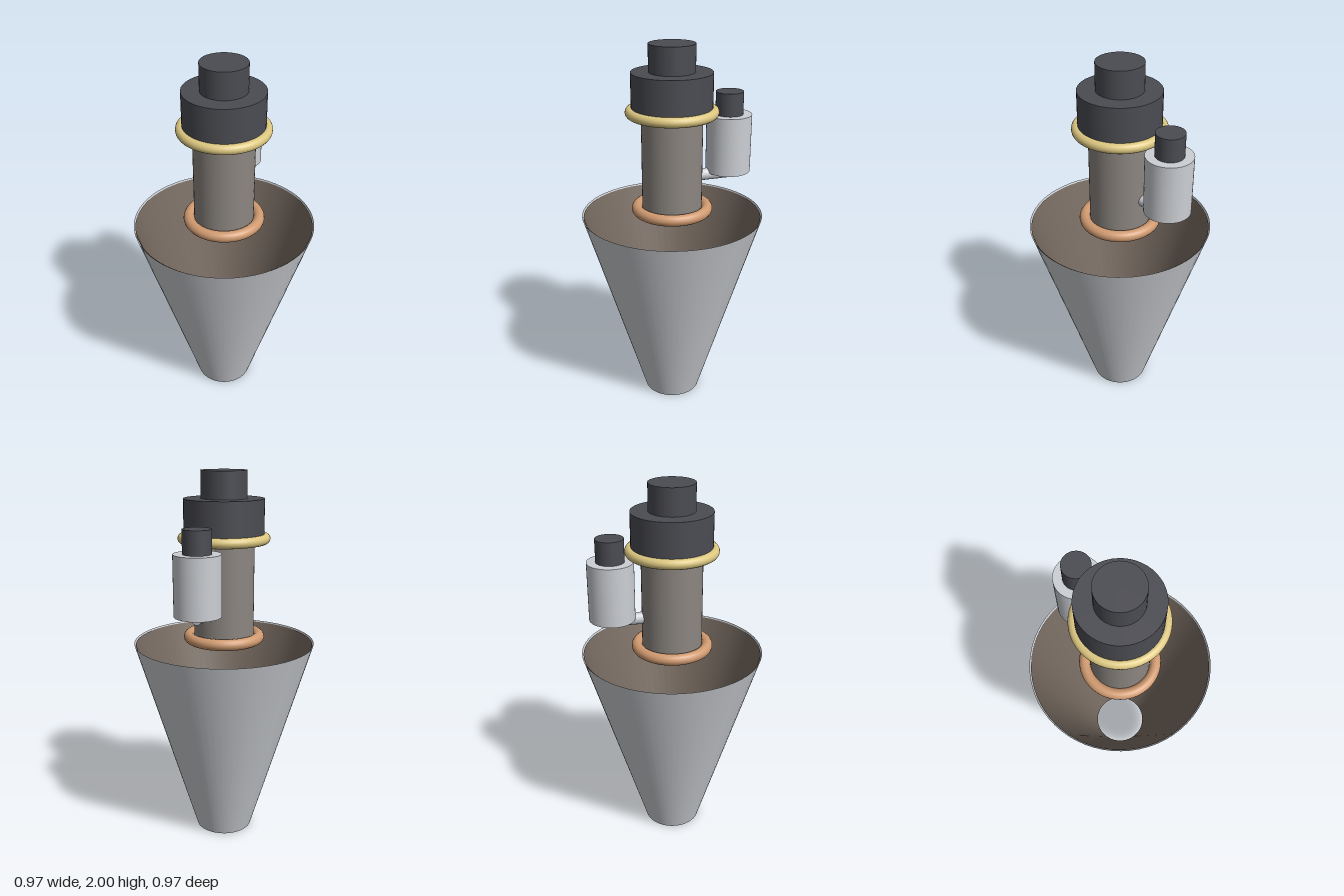
import * as THREE from 'three';

const material = (color, side = THREE.FrontSide) =>
  new THREE.MeshStandardMaterial({ color, side });

export function createModel() {
  const model = new THREE.Group();
  model.name = 'rocketEngine';

  const steel = material(0xcccfd4);
  const column = material(0x8c8681);
  const dark = material(0x4b4c52);

  const add = (name, geometry, mat, x, y, z) => {
    const mesh = new THREE.Mesh(geometry, mat);
    mesh.name = name;
    mesh.position.set(x, y, z);
    model.add(mesh);
    return mesh;
  };

  // Upright cylinder between two heights
  const post = (name, radius, y0, y1, mat, z = 0) =>
    add(name, new THREE.CylinderGeometry(radius, radius, y1 - y0, 48), mat, 0, (y0 + y1) / 2, z);

  // Horizontal ring around the main axis
  const ring = (name, radius, tube, y, color) => {
    const geometry = new THREE.TorusGeometry(radius, tube, 16, 64).rotateX(Math.PI / 2);
    return add(name, geometry, material(color), 0, y, 0);
  };

  // Open cone: pale outer shell and a brown liner just inside it
  add('outerCone', new THREE.CylinderGeometry(0.485, 0.155, 1.1, 64, 1, true),
    material(0xcccfd4, THREE.DoubleSide), 0, 0.55, 0);
  add('coneLiner', new THREE.CylinderGeometry(0.477, 0.152, 1.09, 64, 1, true),
    material(0x75695f, THREE.DoubleSide), 0, 0.548, 0);

  // Central column with its collars and stepped cap
  post('column', 0.16, 1.1, 1.66, column);
  ring('lowerCollar', 0.187, 0.03, 1.13, 0xd09a70);
  ring('upperCollar', 0.216, 0.026, 1.657, 0xdcc780);
  post('cap', 0.21, 1.63, 1.86, dark);
  post('capTop', 0.12, 1.86, 2, dark);

  // Side pump behind the column, carried by a short pipe
  post('pumpBody', 0.12, 1.31, 1.62, steel, -0.317);
  post('pumpTop', 0.073, 1.62, 1.74, dark, -0.317);
  add('pumpPipe', new THREE.CylinderGeometry(0.032, 0.032, 0.2, 16).rotateX(Math.PI / 2),
    steel, 0, 1.3, -0.235);

  return model;
}
